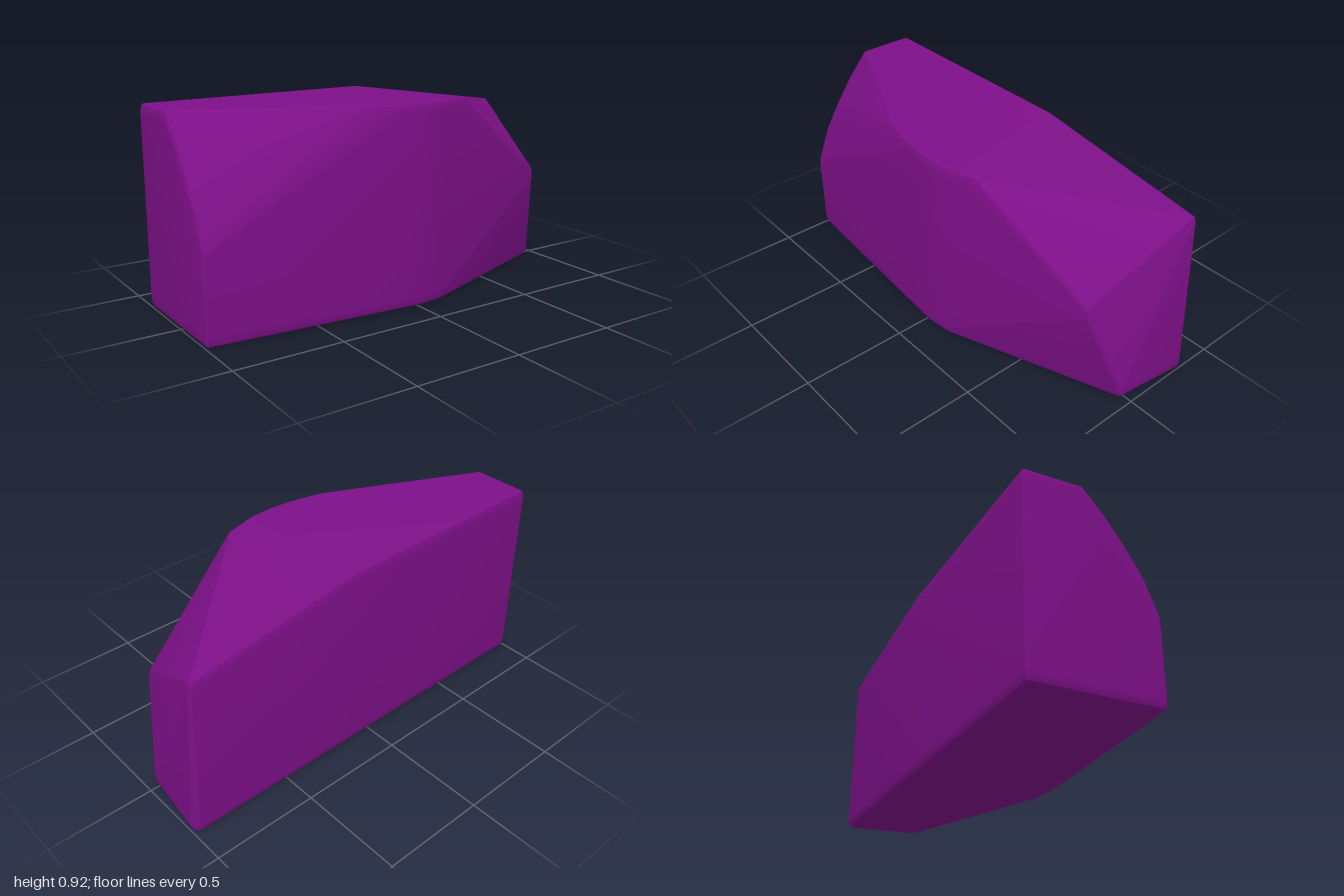
import * as THREE from 'three';
import { ConvexGeometry } from 'three/addons/geometries/ConvexGeometry.js';
import { toCreasedNormals } from 'three/addons/utils/BufferGeometryUtils.js';

// Radii of the rounding along the edges, per axis
const ROUND = new THREE.Vector3(0.015, 0.045, 0.015);
const BOTTOM = 0.045, TOP = 0.877, BACK = -0.328;

// Outlines as [x, z] of the level bottom and top faces
const bottomOutline = [
  [-0.985, BACK], [-0.985, 0.248], [-0.1, 0.318], [0.02, 0.327], [0.14, 0.313],
  [0.945, 0.015], [0.985, -0.31], [0.968, BACK],
];
const topOutline = [
  [-0.985, BACK], [-0.985, -0.07], [-0.25, 0.28], [-0.1, 0.312],
  [0.02, 0.325], [0.14, 0.318], [0.29, 0.275], [0.1, BACK],
];

// Corners between the two levels: curved left end, right shoulder and right point
const middleCorners = [
  [-0.985, 0.38, 0.248], [-0.985, 0.53, 0.188], [-0.985, 0.65, 0.112], [-0.985, 0.77, 0.025],
  [0.942, 0.752, BACK], [0.838, 0.47, 0.145],
];

// Directions over a small ball that rounds each corner
function ballDirections() {
  const dirs = [new THREE.Vector3(0, 1, 0), new THREE.Vector3(0, -1, 0)];
  for (const lat of [-60, -30, 0, 30, 60]) {
    for (let i = 0; i < 12; i++) {
      dirs.push(new THREE.Vector3().setFromSphericalCoords(
        1, THREE.MathUtils.degToRad(90 - lat), (i / 12) * Math.PI * 2));
    }
  }
  return dirs;
}

export function createModel() {
  const group = new THREE.Group();
  group.name = 'facetedStone';

  const corners = [
    ...bottomOutline.map(([x, z]) => new THREE.Vector3(x, BOTTOM, z)),
    ...topOutline.map(([x, z]) => new THREE.Vector3(x, TOP, z)),
    ...middleCorners.map((c) => new THREE.Vector3(...c)),
  ];

  // Rounded block: hull of a small ball placed at every corner
  const dirs = ballDirections();
  const points = corners.flatMap((c) => dirs.map((d) => d.clone().multiply(ROUND).add(c)));
  const geometry = toCreasedNormals(new ConvexGeometry(points), 0.3);

  const stone = new THREE.Mesh(geometry, new THREE.MeshStandardMaterial({ color: 0x7d1088 }));
  stone.name = 'stone';
  group.add(stone);
  return group;
}
